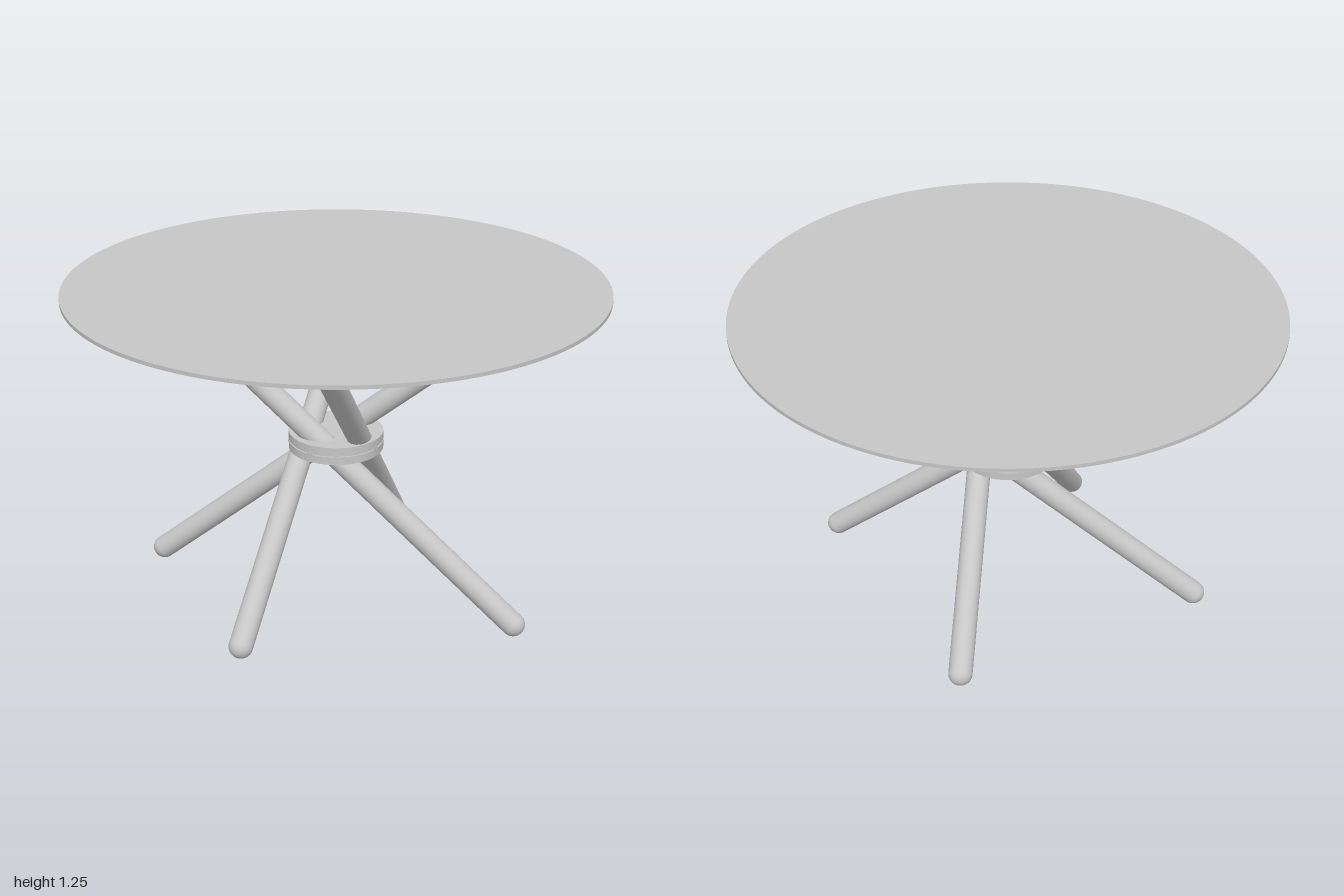
import * as THREE from 'three';

export function createModel() {
  const model = new THREE.Group();
  model.name = 'roundTable';
  const grey = new THREE.MeshStandardMaterial({ color: 0xc6c6c6 });
  grey.name = 'satin grey';

  const add = (parent, name, geometry) => {
    const mesh = new THREE.Mesh(geometry, grey);
    mesh.name = name;
    parent.add(mesh);
    return mesh;
  };

  // Thin round top
  add(model, 'tableTop', new THREE.CylinderGeometry(1, 1, 0.014, 128)).position.y = 1.25;

  // Four crossing poles: floor [x, z], top [x, z]
  const R = 0.045;
  const FLOOR_Y = 0.048, TOP_Y = 1.194;
  const legs = [
    [[0.70, -0.30], [-0.55, 0.43]],
    [[0.22, 0.60], [-0.39, -0.43]],
    [[-0.62, 0.41], [0.47, -0.53]],
    [[-0.32, -0.56], [0.475, 0.42]],
  ];
  const up = new THREE.Vector3(0, 1, 0);
  legs.forEach(([foot, head], i) => {
    const a = new THREE.Vector3(foot[0], FLOOR_Y, foot[1]);
    const b = new THREE.Vector3(head[0], TOP_Y, head[1]);
    const length = a.distanceTo(b);
    const leg = new THREE.Group();
    leg.name = `leg${i + 1}`;
    leg.position.copy(a).lerp(b, 0.5);
    leg.quaternion.setFromUnitVectors(up, b.clone().sub(a).normalize());
    add(leg, 'pole', new THREE.CylinderGeometry(R, R, length, 32, 1, true));
    // Rounded end caps
    for (const s of [1, -1]) {
      const cap = add(leg, s > 0 ? 'topCap' : 'footCap',
        new THREE.SphereGeometry(R, 32, 12, 0, Math.PI * 2, 0, Math.PI / 2));
      cap.position.y = s * length / 2;
      if (s < 0) cap.rotation.x = Math.PI;
    }
    model.add(leg);
  });

  // Hub: two stacked discs with a narrow groove between them
  const hub = new THREE.Group();
  hub.name = 'hub';
  hub.position.y = 0.645;
  model.add(hub);
  for (const s of [1, -1]) {
    add(hub, s > 0 ? 'upperDisc' : 'lowerDisc',
      new THREE.CylinderGeometry(0.18, 0.18, 0.031, 64)).position.y = s * 0.0185;
  }
  add(hub, 'hubCore', new THREE.CylinderGeometry(0.174, 0.174, 0.02, 64));

  // Small clamping screws around the groove
  for (let i = 0; i < 4; i++) {
    const angle = 0.34 + i * Math.PI / 2;
    const screw = add(hub, 'screw', new THREE.CylinderGeometry(0.01, 0.01, 0.012, 16));
    screw.position.set(Math.sin(angle) * 0.175, 0, Math.cos(angle) * 0.175);
    screw.quaternion.setFromUnitVectors(up, screw.position.clone().normalize());
  }
  return model;
}
